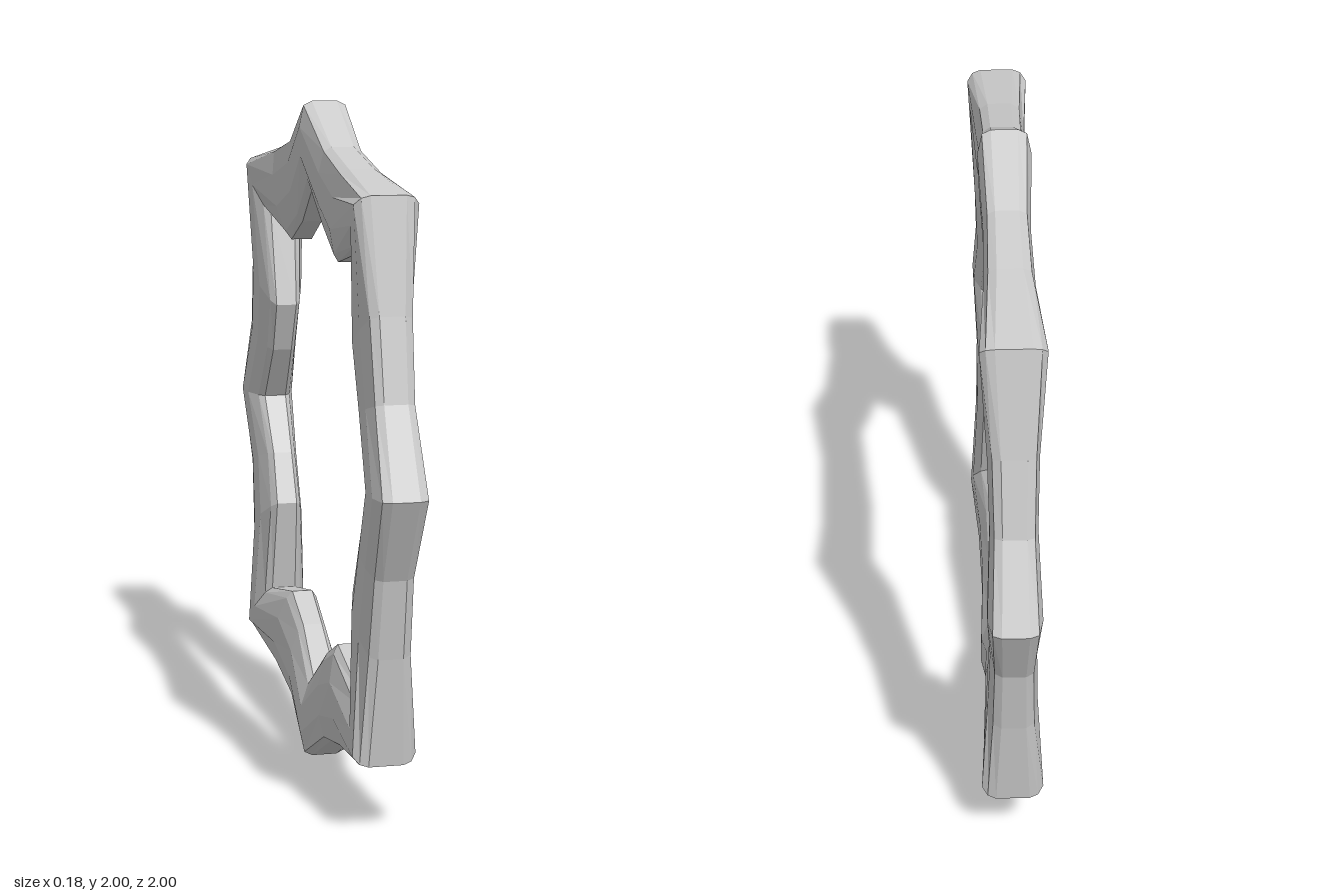
import * as THREE from 'three';

// Cross-section from outer rim (t = 1) to inner rim (t = 0): [t, share of half width]
const ROUND = [[1, 0.5], [0.95, 0.83], [0.7, 1], [0.36, 0.97], [0.09, 0.68], [0, 0.45]];
const CORNER = [[1, 0.55], [0.96, 0.82], [0.85, 1], [0.48, 0.93], [0.12, 0.65], [0, 0.42]];

// Stations along one eighth of the ring: outer [z, y], inner [z, y], half width
const EIGHTH = [
  { outer: [0, 1], inner: [0, 0.75], w: 0.076, profile: ROUND },
  { outer: [0.24, 0.88], inner: [0.17, 0.63], w: 0.066, profile: ROUND },
  { outer: [0.47, 0.835], inner: [0.325, 0.56], w: 0.071, profile: ROUND },
  { outer: [0.787, 0.787], inner: [0.62, 0.62], w: 0.09, profile: CORNER },
];

const swap = ([z, y]) => [y, z];
const mirrored = (s) => ({ ...s, outer: swap(s.outer), inner: swap(s.inner) });

// Quarter turn about the x axis, repeated n times
function turn([z, y], n) {
  for (let i = 0; i < n; i++) [z, y] = [y, -z];
  return [z, y];
}

// Closed loop of points around the tube at one station
function sectionLoop(s, quarter) {
  const o = turn(s.outer, quarter), n = turn(s.inner, quarter);
  const side = (sign) => s.profile.map(([t, k]) => [
    sign * k * s.w,
    1 + n[1] + (o[1] - n[1]) * t,
    n[0] + (o[0] - n[0]) * t,
  ]);
  return [...side(1), ...side(-1).reverse()];
}

function ringGeometry() {
  const quarterStations = [...EIGHTH, mirrored(EIGHTH[2]), mirrored(EIGHTH[1])];
  const loops = [];
  for (let q = 0; q < 4; q++) {
    for (const s of quarterStations) loops.push(sectionLoop(s, q));
  }
  const sides = loops[0].length;
  const index = [];
  for (let i = 0; i < loops.length; i++) {
    const next = (i + 1) % loops.length;
    for (let j = 0; j < sides; j++) {
      const k = (j + 1) % sides;
      const a = i * sides + j, b = i * sides + k;
      const c = next * sides + k, d = next * sides + j;
      index.push(a, d, c, a, c, b);
    }
  }
  const geometry = new THREE.BufferGeometry();
  geometry.setAttribute('position', new THREE.Float32BufferAttribute(loops.flat(2), 3));
  geometry.setIndex(index);
  const faceted = geometry.toNonIndexed();
  faceted.computeVertexNormals();
  return faceted;
}

export function createModel() {
  const group = new THREE.Group();
  group.name = 'scallopedRing';
  // Eight-pointed ring standing upright in the y-z plane
  const ring = new THREE.Mesh(
    ringGeometry(),
    new THREE.MeshStandardMaterial({ color: 0xcccccc, flatShading: true })
  );
  ring.name = 'ring';
  group.add(ring);
  return group;
}
